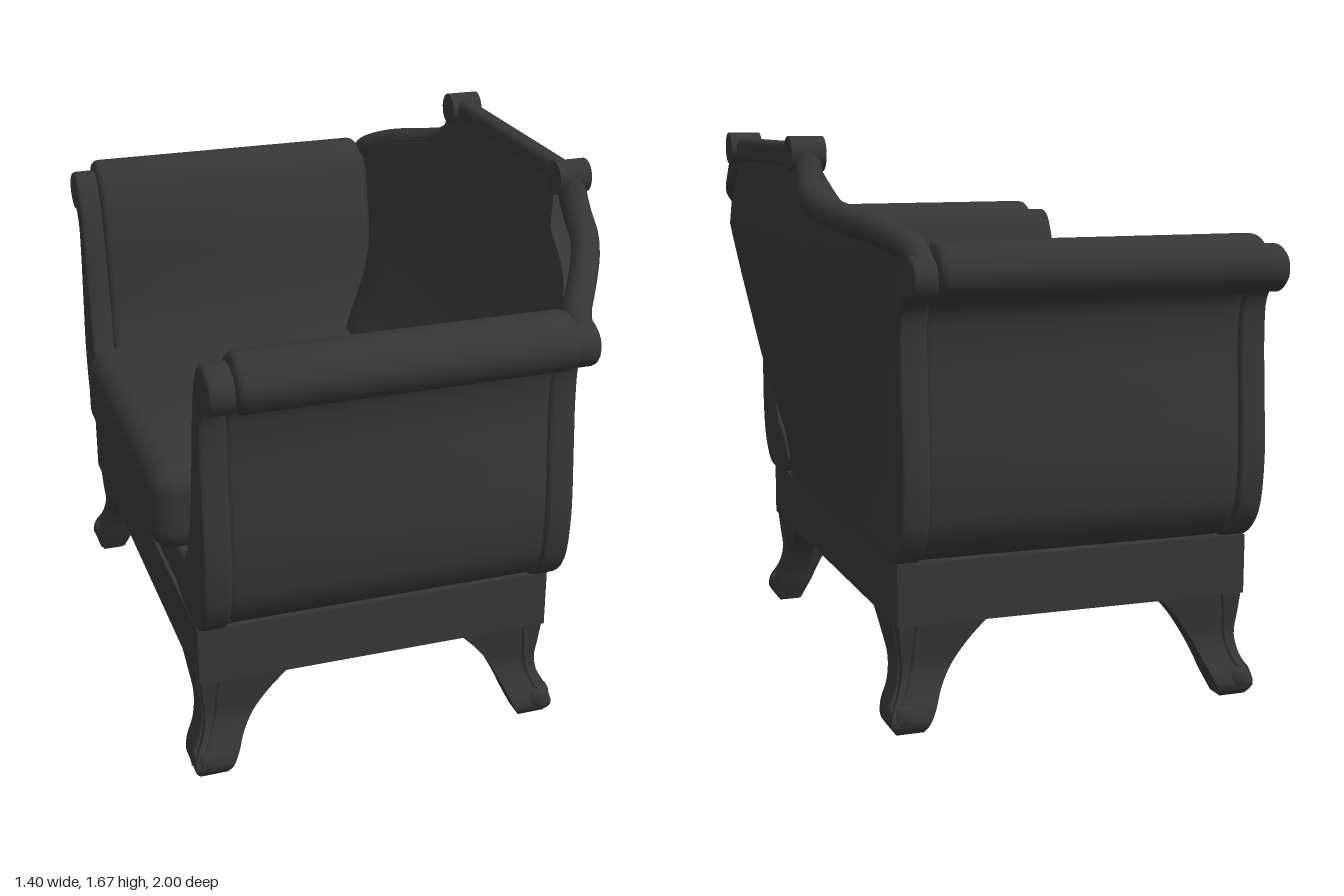
import * as THREE from 'three';
import { toCreasedNormals } from 'three/addons/utils/BufferGeometryUtils.js';
import { RoundedBoxGeometry } from 'three/addons/geometries/RoundedBoxGeometry.js';
import { ParametricGeometry } from 'three/addons/geometries/ParametricGeometry.js';

const mat = new THREE.MeshStandardMaterial({ color: 0x363636 });
const matDouble = new THREE.MeshStandardMaterial({ color: 0x363636, side: THREE.DoubleSide });
const V = (x, y, z) => new THREE.Vector3(x, y, z);
const { lerp } = THREE.MathUtils;

// Piecewise lookup through [key, value] pairs
function lookup(table, k) {
  if (k <= table[0][0]) return table[0][1];
  for (let i = 1; i < table.length; i++) {
    const [a, va] = table[i - 1], [b, vb] = table[i];
    if (k <= b) return lerp(va, vb, (k - a) / (b - a));
  }
  return table[table.length - 1][1];
}

// Arm outlines as [z, y]
const FRAME = [[.49, .56], [.515, .515], [.57, .495], [.66, .49], [.755, .497], [.83, .57], [.86, .72], [.848, .95],
  [.838, 1.1], [.845, 1.205], [.875, 1.24], [.92, 1.238], [.968, 1.28], [.965, 1.335], [.91, 1.37], [.85, 1.362],
  [.8, 1.29], [.77, 1.18], [.742, 1.02], [.712, .86], [.675, .75], [.61, .66], [.575, .645], [.525, .61]];
const PAD = [[.45, .5], [.6, .495], [.74, .5], [.82, .58], [.847, .72], [.837, .95], [.827, 1.1], [.84, 1.2],
  [.87, 1.238], [.93, 1.238], [.985, 1.275], [.998, 1.33], [.955, 1.39], [.875, 1.4], [.805, 1.35], [.755, 1.2],
  [.73, 1.02], [.7, .86], [.64, .74], [.55, .66], [.45, .62]];

// Extrudes an arm outline from x0 to x1 on one side
function armSlab(points, side, x0, x1, bevel) {
  const curve = new THREE.CatmullRomCurve3(points.map(([z, y]) => V(z * side, y, 0)), true, 'centripetal');
  const shape = new THREE.Shape(curve.getPoints(90).slice(0, -1).map(p => new THREE.Vector2(p.x, p.y)));
  const geo = new THREE.ExtrudeGeometry(shape, {
    depth: x1 - x0 - 2 * bevel, bevelSize: bevel, bevelThickness: bevel, bevelOffset: -bevel, bevelSegments: 3,
  });
  geo.rotateY(-Math.PI / 2).translate(x1 - bevel, 0, 0);
  return toCreasedNormals(geo, 0.6);
}

// Back shell: top edge by z, half width, outward bulge and inner lean by y
const TOP = [[0, 1.6], [.4, 1.6], [.44, 1.54], [.48, 1.495], [.53, 1.475], [.63, 1.45], [.75, 1.42], [.85, 1.36]];
const WIDTH = [[.49, .53], [.65, .6], [.75, .67], [.86, .71], [1.02, .74], [1.2, .77], [1.35, .84], [1.6, .85]];
const BULGE = [[.49, .015], [.6, .045], [.95, .157], [1.2, .218], [1.38, .253], [1.46, .243], [1.53, .22], [1.6, .19]];
const LEAN = [[.49, .18], [.82, .19], [.88, .22], [.97, .28], [1.1, .355], [1.3, .455], [1.5, .545], [1.6, .585]];

function backPoint(u, v, depth, target) {
  const a = Math.abs(u);
  const y = lerp(.49, lookup(TOP, a * .85), v);
  const outer = .45 + lookup(BULGE, y) * (1 - a ** 2.8);
  const inner = lerp(lookup(LEAN, y), .41, a ** 5);
  target.set(lerp(inner, outer, depth), y, u * lookup(WIDTH, y));
}

// Corner leg: [height, outer offset, inner offset] measured from the base corner
const LEG = [[.32, -.005, -.275], [.25, -.012, -.21], [.18, -.018, -.162], [.12, -.005, -.13], [.07, .02, -.108],
  [.03, .026, -.09], [0, .008, -.075]];

function legGroup(sx, sz) {
  const group = new THREE.Group();
  group.name = 'leg';
  const place = (dx, y, dz) => V(-.0875 + sx * (.5425 + dx), y, sz * (.75 + dz));
  const levels = new THREE.CatmullRomCurve3(LEG.map(l => V(...l)), false, 'centripetal').getPoints(24);
  const pos = [], index = [], n = 6;
  levels.forEach(({ x: y, y: o, z: i }, j) => {
    const w = o - i, t = Math.min(1, j / 16);
    const c = lerp(.25, .75, t) * w, m = lerp(.5, .92, t) * w;
    [[o, o], [i, o], [i, o - c], [o - m, o - m], [o - c, i], [o, i]]
      .forEach(([dx, dz]) => pos.push(...place(dx, y, dz).toArray()));
  });
  const tri = (a, b, c) => (sx * sz > 0 ? index.push(a, b, c) : index.push(a, c, b));
  for (let j = 0; j < levels.length - 1; j++) {
    for (let k = 0; k < n; k++) {
      const a = j * n + k, b = j * n + (k + 1) % n;
      tri(a, b, b + n);
      tri(a, b + n, a + n);
    }
  }
  const last = (levels.length - 1) * n;
  for (let k = 1; k < n - 1; k++) tri(last, last + k, last + k + 1);
  const geo = new THREE.BufferGeometry();
  geo.setAttribute('position', new THREE.Float32BufferAttribute(pos, 3));
  geo.setIndex(index);
  const body = new THREE.Mesh(toCreasedNormals(geo, 0.7), mat);
  body.name = 'legBody';
  group.add(body);

  // One raised bead down each outer face, ending in a small domed scroll
  for (const swap of [false, true]) {
    const onFace = (along, y, out) => (swap ? place(out, y, along) : place(along, y, out));
    const path = levels.slice(0, 20).map(l => onFace(l.y - .22 * (l.y - l.z), l.x, l.y - .003));
    const bead = new THREE.Mesh(new THREE.TubeGeometry(new THREE.CatmullRomCurve3(path), 24, .009, 8), mat);
    bead.name = 'legBead';
    const scroll = new THREE.Mesh(new THREE.SphereGeometry(.034, 18, 12), mat);
    scroll.name = 'footScroll';
    scroll.scale.set(swap ? .6 : 1, 1, swap ? 1 : .6);
    scroll.position.copy(onFace(-.015, .055, .012));
    group.add(bead, scroll);
  }
  return group;
}

export function createModel() {
  const model = new THREE.Group();
  model.name = 'armchair';
  const add = (name, geo, x = 0, y = 0, z = 0, material = mat) => {
    const mesh = new THREE.Mesh(geo, material);
    mesh.name = name;
    mesh.position.set(x, y, z);
    model.add(mesh);
    return mesh;
  };

  // Base, seat deck and cushion
  add('baseFrame', new THREE.BoxGeometry(1.085, .18, 1.5), -.0875, .402, 0);
  add('seatDeck', new RoundedBoxGeometry(1.02, .14, 1.14, 3, .02), -.11, .55, 0);
  const cushion = new RoundedBoxGeometry(.95, .27, 1.04, 8, .075);
  const p = cushion.attributes.position;
  for (let i = 0; i < p.count; i++) { // crowned top and softly bowed sides
    const x = p.getX(i) / .475, z = p.getZ(i) / .52;
    if (p.getY(i) > 0) p.setY(i, p.getY(i) + .015 * (1 - x * x * .5 - z * z * .5));
    p.setX(i, p.getX(i) * (1 - .025 * z * z));
    p.setZ(i, p.getZ(i) * (1 - .025 * x * x));
  }
  add('seatCushion', toCreasedNormals(cushion, 0.8), -.23, .745, 0);

  // Arms: padded body between two scrolled frames
  for (const side of [1, -1]) {
    add('armPad', armSlab(PAD, side, -.56, .405, .025));
    add('armFrontFrame', armSlab(FRAME, side, -.632, -.55, .012));
    add('armBackFrame', armSlab(FRAME, side, .39, .472, .012));

    // Sloping rail from the arm up to the top rail
    const rail = [[.428, 1.34, .905], [.44, 1.376, .865], [.48, 1.41, .8], [.525, 1.433, .725], [.573, 1.453, .635],
      [.612, 1.482, .54], [.62, 1.53, .47], [.617, 1.59, .435], [.617, 1.625, .42]];
    const path = new THREE.CatmullRomCurve3(rail.map(([x, y, z]) => V(x, y, z * side)));
    add('wingRail', new THREE.TubeGeometry(path, 48, .042, 12));
    const knob = add('railScroll', new THREE.CylinderGeometry(.05, .05, .1, 24), .617, 1.62, .415 * side);
    knob.rotation.z = Math.PI / 2;
  }

  // Curved upholstered back
  const back = (u, depth, v, target) => backPoint(2 * u - 1, v, depth, target);
  add('backRest', new ParametricGeometry((u, v, t) => back(u, 0, v, t), 60, 30), 0, 0, 0, matDouble);
  add('backPanel', new ParametricGeometry((u, v, t) => back(u, 1, v, t), 60, 30), 0, 0, 0, matDouble);
  add('backTopEdge', new ParametricGeometry((u, v, t) => back(u, v, 1, t), 60, 2), 0, 0, 0, matDouble);
  add('topRail', new RoundedBoxGeometry(.065, .08, .82, 4, .025), .617, 1.612, 0);

  for (const sx of [1, -1]) for (const sz of [1, -1]) model.add(legGroup(sx, sz));
  return model;
}
